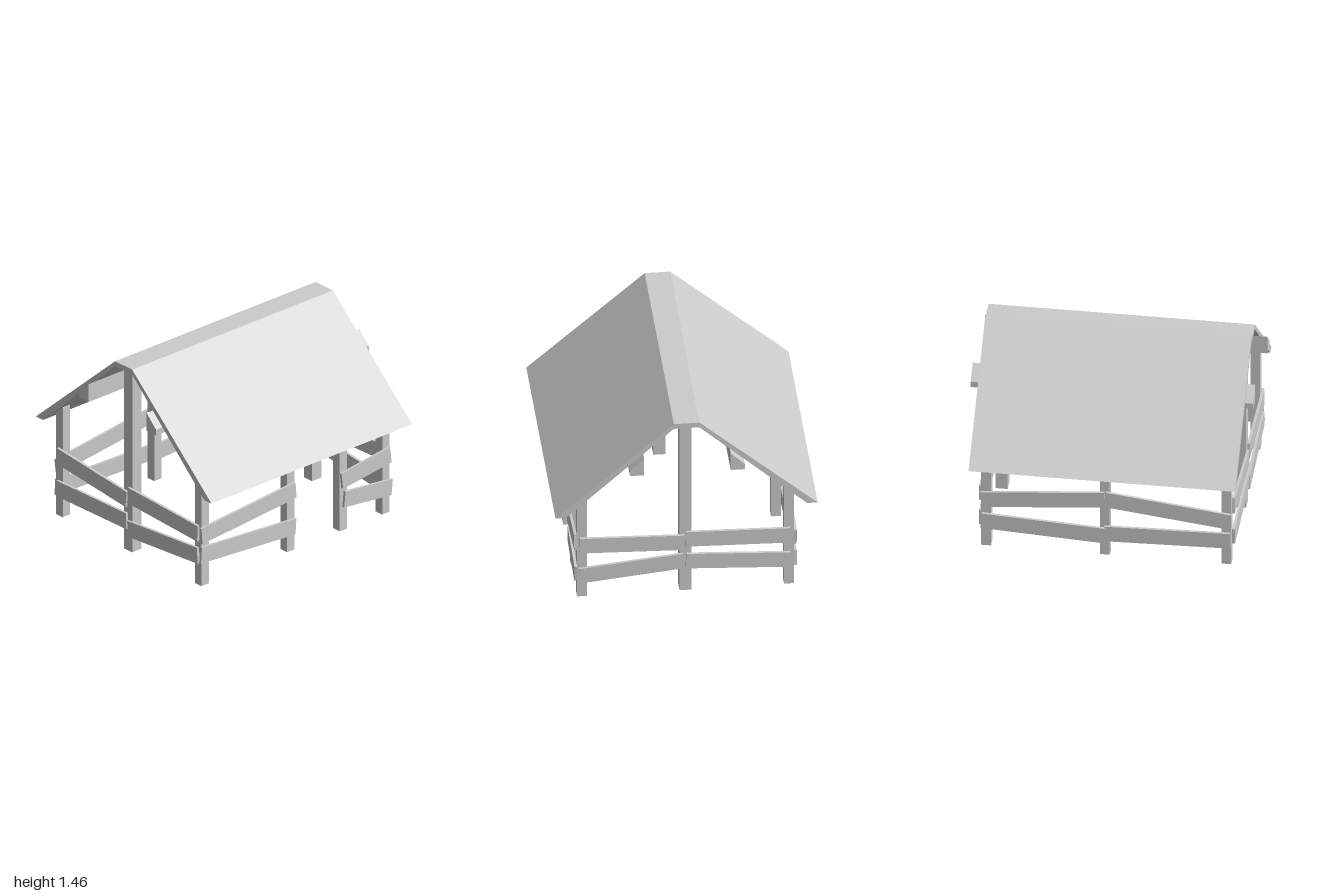
import * as THREE from 'three';

const material = new THREE.MeshStandardMaterial({ color: 0xcccccc, flatShading: true });

export function createModel() {
  const model = new THREE.Group();

  const add = (name, geometry) => {
    const mesh = new THREE.Mesh(geometry, material);
    mesh.name = name;
    model.add(mesh);
    return mesh;
  };

  // Prism along x from a [z, y] outline
  const prism = (name, outline, halfLength) => {
    const shape = new THREE.Shape(outline.map(([z, y]) => new THREE.Vector2(-z, y)));
    const geometry = new THREE.ExtrudeGeometry(shape, { depth: 2 * halfLength, bevelEnabled: false });
    geometry.translate(0, 0, -halfLength).rotateY(Math.PI / 2);
    return add(name, geometry);
  };

  // Gabled roof shell with a flat ridge
  prism('roof', [
    [0.925, 0.72], [0.09, 1.46], [-0.09, 1.46], [-0.925, 0.72],
    [-0.85, 0.72], [-0.09, 1.42], [0.09, 1.42], [0.85, 0.72],
  ], 0.943);

  // Purlins tucked under the slopes
  for (const s of [1, -1]) {
    prism(s > 0 ? 'frontPurlin' : 'backPurlin',
      [[s * 0.405, 1.08], [s * 0.305, 1.08], [s * 0.305, 1.22], [s * 0.405, 1.125]], 1);
  }

  // Posts
  const post = (name, x, z, size, height) =>
    add(name, new THREE.BoxGeometry(size, height, size)).position.set(x, height / 2, z);
  for (const x of [-0.86, -0.055, 0.44, 0.84]) post('frontPost', x, 0.73, 0.07, 0.855);
  for (const x of [-0.86, 0, 0.84]) post('backPost', x, -0.73, 0.07, 0.855);
  for (const x of [-0.857, 0.833]) post('ridgePost', x, 0, 0.086, 1.42);

  // Crooked rails: [centre along wall, centre y, length, tilt in degrees]
  const rails = (name, rows, place, turn) => {
    for (const [u, y, length, tilt] of rows) {
      const rail = add(name, new THREE.BoxGeometry(length, 0.122, 0.02));
      rail.position.copy(place(u, y));
      rail.rotation.set(0, turn, THREE.MathUtils.degToRad(tilt));
    }
  };
  rails('frontRail', [
    [-0.465, 0.435, 0.887, 4.7], [-0.468, 0.219, 0.89, -4.1],
    [0.64, 0.425, 0.46, 7.4], [0.658, 0.222, 0.447, -6.2],
  ], (x, y) => new THREE.Vector3(x, y, 0.775), 0);
  rails('backRail', [
    [0.435, 0.431, 0.88, -5.1], [0.435, 0.191, 0.88, 3.2],
    [-0.445, 0.418, 0.89, 7], [-0.445, 0.195, 0.89, -1.3],
  ], (x, y) => new THREE.Vector3(x, y, -0.775), 0);
  rails('leftRail', [
    [0.38, 0.425, 0.737, -1.9], [0.38, 0.22, 0.737, 5.8],
    [-0.37, 0.43, 0.737, -1.5], [-0.37, 0.235, 0.737, -3.1],
  ], (z, y) => new THREE.Vector3(0.884, y, z), Math.PI / 2);
  rails('rightRail', [
    [0.38, 0.425, 0.737, 2.5], [0.38, 0.208, 0.737, -4.6],
    [-0.37, 0.438, 0.737, 5.7], [-0.37, 0.225, 0.737, -1],
  ], (z, y) => new THREE.Vector3(-0.908, y, z), Math.PI / 2);

  return model;
}
